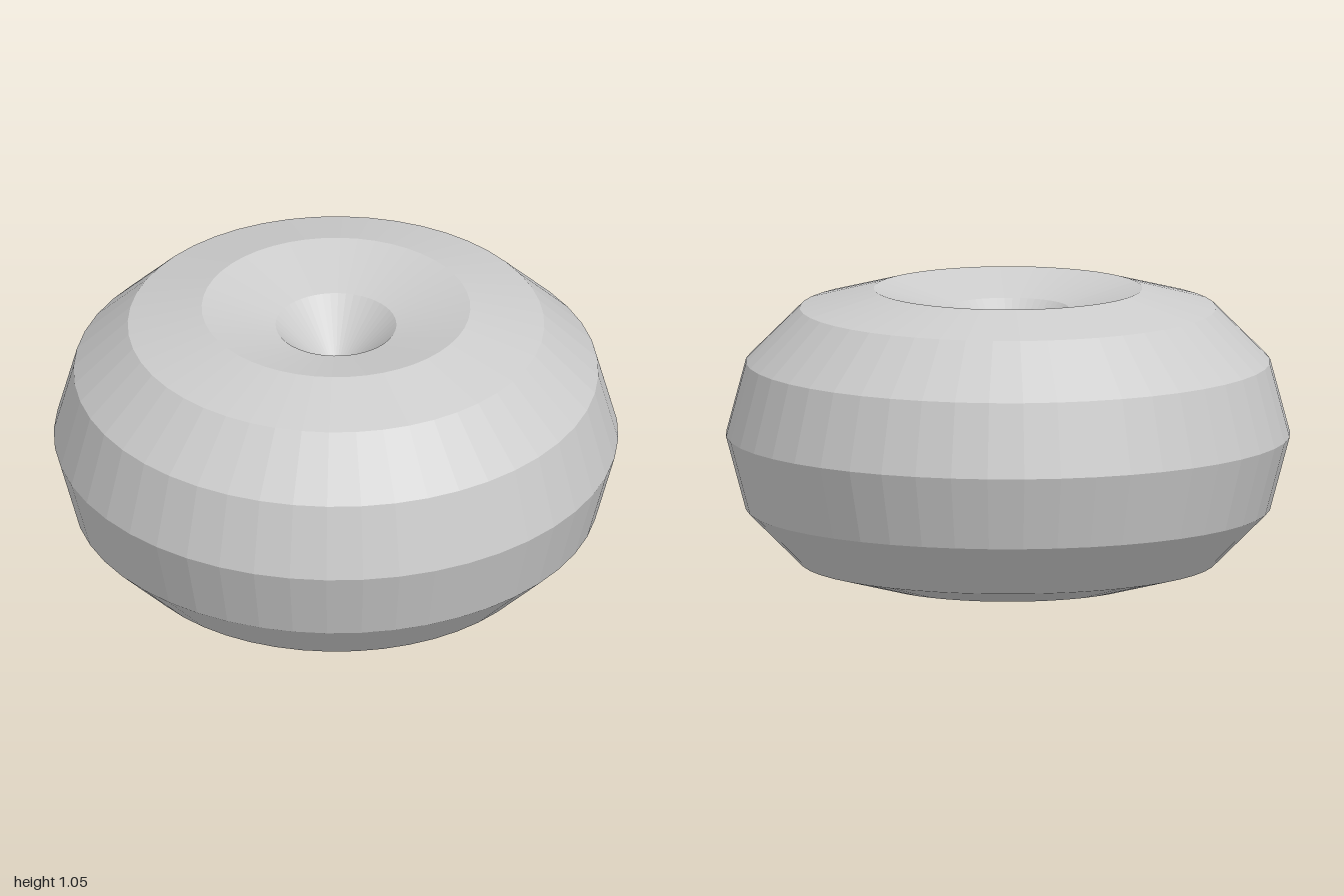
import * as THREE from 'three';

export function createModel() {
  const model = new THREE.Group();
  model.name = 'ringModel';

  const grey = new THREE.MeshStandardMaterial({ color: 0xcccccc, flatShading: true });
  grey.name = 'light grey';

  // Fat low-poly ring: the tube is wider than the ring radius, so the hole closes into two dimples
  const ringRadius = 0.476;
  const tubeRadius = 0.524;
  const geometry = new THREE.TorusGeometry(ringRadius, tubeRadius, 12, 48);
  geometry.rotateX(-Math.PI / 2);
  geometry.translate(0, tubeRadius, 0);

  const ring = new THREE.Mesh(geometry, grey);
  ring.name = 'ring';
  model.add(ring);

  return model;
}
